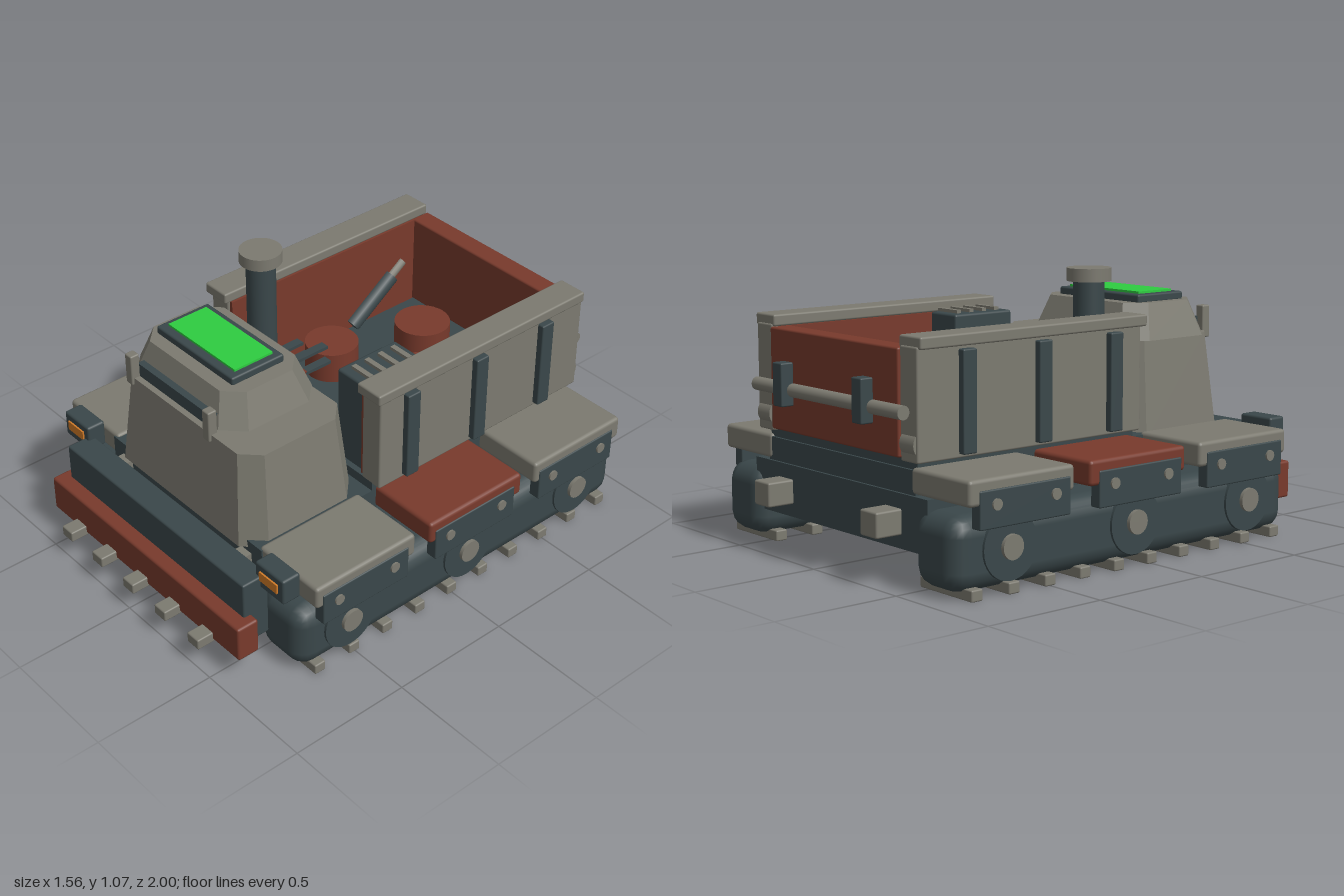
import * as THREE from 'three';
import { RoundedBoxGeometry } from 'three/addons/geometries/RoundedBoxGeometry.js';

const material = (name, color) => {
  const m = new THREE.MeshStandardMaterial({ color });
  m.name = name;
  return m;
};

export function createModel() {
  const grey = material('weathered grey', 0x7c7a70);
  const dark = material('dark slate', 0x3a474a);
  const red = material('rust red', 0x783a2c);
  const green = material('screen green', 0x2ecc40);
  const orange = material('lamp orange', 0xd07a28);

  const model = new THREE.Group();
  model.name = 'trackedHauler';

  const add = (name, geometry, mat, x = 0, y = 0, z = 0) => {
    const mesh = new THREE.Mesh(geometry, mat);
    mesh.name = name;
    mesh.position.set(x, y, z);
    model.add(mesh);
    return mesh;
  };
  // Box given by its limits on each axis; r rounds the edges
  const box = (name, mat, [x0, x1], [y0, y1], [z0, z1], r = 0) => {
    const w = x1 - x0, h = y1 - y0, d = z1 - z0;
    const g = r ? new RoundedBoxGeometry(w, h, d, 2, r) : new THREE.BoxGeometry(w, h, d);
    return add(name, g, mat, (x0 + x1) / 2, (y0 + y1) / 2, (z0 + z1) / 2);
  };
  // Box on the side s = 1 or -1, given by its distance from the middle
  const sideBox = (s, name, mat, [a, b], y, z, r) =>
    box(name, mat, s > 0 ? [a, b] : [-b, -a], y, z, r);
  const cylX = (name, mat, r, length, x, y, z, sides = 24) =>
    add(name, new THREE.CylinderGeometry(r, r, length, sides).rotateZ(Math.PI / 2), mat, x, y, z);
  const cylY = (name, mat, r, y0, y1, x, z) =>
    add(name, new THREE.CylinderGeometry(r, r, y1 - y0, 32), mat, x, (y0 + y1) / 2, z);

  // Tapered block with cut corners, between two rectangles [x0, x1, z0, z1, cut]
  const taperedBlock = (name, mat, y0, bottom, y1, top) => {
    const ring = ([x0, x1, z0, z1, c], y) => [
      [x0 + c, z1], [x1 - c, z1], [x1, z1 - c], [x1, z0 + c],
      [x1 - c, z0], [x0 + c, z0], [x0, z0 + c], [x0, z1 - c],
    ].map(([x, z]) => [x, y, z]);
    const a = ring(bottom, y0), b = ring(top, y1), p = [];
    for (let i = 0; i < 8; i++) {
      const j = (i + 1) % 8;
      p.push(...a[i], ...a[j], ...b[j], ...a[i], ...b[j], ...b[i]);
      if (i > 0 && i < 7) p.push(...b[0], ...b[i], ...b[j], ...a[0], ...a[j], ...a[i]);
    }
    const g = new THREE.BufferGeometry();
    g.setAttribute('position', new THREE.Float32BufferAttribute(p, 3));
    g.computeVertexNormals();
    return add(name, g, mat);
  };

  // Hull and deck
  box('hull', dark, [-0.54, 0.54], [0.13, 0.33], [-0.89, 0.72]);
  box('deck', dark, [-0.46, 0.46], [0.32, 0.42], [-0.88, 0.71]);
  box('bedFloor', dark, [-0.46, 0.46], [0.41, 0.46], [-0.87, 0.17]);

  // Front bumper, plow and teeth
  box('bumper', dark, [-0.55, 0.55], [0.12, 0.4], [0.755, 0.87], 0.008);
  box('plow', red, [-0.59, 0.59], [0.1, 0.25], [0.835, 0.93], 0.01);
  for (let i = -2; i <= 2; i++)
    box('plowTooth', grey, [i * 0.202 - 0.033, i * 0.202 + 0.033], [0.09, 0.135], [0.88, 1], 0.006);

  for (const s of [1, -1]) {
    sideBox(s, 'bumperStrut', grey, [0.34, 0.4], [0.3, 0.37], [0.68, 0.77]);

    // Track with pads and wheels
    sideBox(s, 'track', dark, [0.475, 0.73], [0.02, 0.295], [-0.92, 0.755], 0.075);
    for (let i = 0; i < 10; i++) {
      const z = 0.672 - i * 0.1675;
      sideBox(s, 'trackPad', grey, [0.455, 0.745], [0, 0.043], [z - 0.025, z + 0.025], 0.006);
    }
    for (const z of [0.52, -0.08, -0.68]) {
      cylX('wheel', dark, 0.122, 0.04, s * 0.72, 0.17, z, 32);
      cylX('wheelHub', grey, 0.046, 0.05, s * 0.73, 0.17, z);
    }

    // Fenders, skirts and bolts
    [[0.465, grey], [-0.09, red], [-0.645, grey]].forEach(([z, mat], i) => {
      const zs = z + (i === 0 ? 0.005 : i === 1 ? 0.008 : 0.01);
      sideBox(s, 'fender', mat, [0.44, 0.765], [0.335, 0.43], [z - 0.24, z + 0.24], 0.015);
      sideBox(s, 'skirt', dark, [0.72, 0.77], [0.252, 0.39], [zs - 0.207, zs + 0.207], 0.006);
      for (const d of [-0.135, 0.135])
        cylX('skirtBolt', grey, 0.021, 0.02, s * 0.768, 0.337, zs + d, 16);
    });

    // Headlamp
    sideBox(s, 'lampHousing', dark, [0.52, 0.68], [0.35, 0.46], [0.71, 0.79], 0.01);
    sideBox(s, 'lampLens', orange, [0.55, 0.65], [0.39, 0.43], [0.785, 0.797]);

    // Bed wall with ribs, cap rail and inner lining
    sideBox(s, 'bedWall', grey, [0.4, 0.5], [0.45, 0.86], [-0.9, 0.17], 0.008);
    sideBox(s, 'wallLining', red, [0.385, 0.402], [0.45, 0.85], [-0.86, 0.16]);
    sideBox(s, 'wallRail', grey, [0.39, 0.515], [0.85, 0.895], [-0.895, 0.19], 0.008);
    for (const z of [0.023, -0.33, -0.685])
      sideBox(s, 'wallRib', dark, [0.49, 0.528], [0.465, 0.84], [z - 0.031, z + 0.031], 0.006);

    // Lift piston inside the bed
    const piston = new THREE.Group();
    piston.name = 'liftPiston';
    const barrel = new THREE.Mesh(new THREE.CylinderGeometry(0.036, 0.036, 0.27, 16), dark);
    const rod = new THREE.Mesh(new THREE.CylinderGeometry(0.02, 0.02, 0.09, 12), grey);
    barrel.name = 'pistonBarrel';
    rod.name = 'pistonRod';
    rod.position.y = 0.17;
    piston.add(barrel, rod);
    piston.position.set(s * 0.385, 0.55, -0.58);
    piston.rotation.x = -0.95;
    model.add(piston);

    // Tailgate fittings
    cylX('tailgateHinge', grey, 0.05, 0.08, s * 0.45, 0.515, -0.862);
    sideBox(s, 'tailgateLatch', dark, [0.22, 0.28], [0.57, 0.735], [-0.98, -0.925], 0.006);
    sideBox(s, 'towBlock', grey, [0.29, 0.39], [0.18, 0.275], [-1, -0.87], 0.008);
  }

  // Tailgate and its bar
  box('tailgate', red, [-0.4, 0.4], [0.46, 0.85], [-0.908, -0.82], 0.008);
  cylX('tailgateBar', grey, 0.026, 0.92, 0, 0.63, -0.93);

  // Cab
  taperedBlock('cabBody', grey, 0.39, [-0.435, 0.435, 0.19, 0.735, 0.08],
    0.78, [-0.39, 0.39, 0.225, 0.7, 0.07]);
  taperedBlock('cabTop', grey, 0.775, [-0.42, 0.245, 0.215, 0.665, 0.08],
    0.915, [-0.37, 0.195, 0.265, 0.62, 0.07]);
  box('visionSlit', dark, [-0.31, 0.14], [0.78, 0.835], [0.6, 0.675]);
  for (const x of [-0.32, 0.152])
    box('visorPost', grey, [x - 0.02, x + 0.02], [0.75, 0.88], [0.672, 0.712], 0.006);
  box('hatchFrame', dark, [-0.33, 0.13], [0.91, 0.945], [0.32, 0.565], 0.008);
  box('hatchScreen', green, [-0.3, 0.1], [0.945, 0.954], [0.35, 0.53]);

  // Control levers behind the cab
  box('leverPanel', red, [-0.105, 0.1], [0.77, 0.79], [0.185, 0.23]);
  [[-0.082, 0.065], [0, 0.01], [0.082, 0.065]].forEach(([x, z]) =>
    box('lever', dark, [x - 0.018, x + 0.018], [0.772, 0.785], [z, 0.19]));

  // Exhaust stack
  cylY('exhaustPipe', dark, 0.06, 0.42, 1.03, -0.343, 0.045);
  cylY('exhaustCap', grey, 0.086, 1.02, 1.07, -0.343, 0.045);

  // Engine box with vent slats
  box('engineBox', dark, [0.23, 0.39], [0.44, 0.853], [-0.145, 0.145], 0.01);
  for (let i = 0; i < 4; i++) {
    const z = -0.1 + i * 0.065;
    box('ventSlat', grey, [0.265, 0.386], [0.85, 0.866], [z - 0.011, z + 0.011]);
  }

  // Drums in the bed
  cylY('drum', red, 0.115, 0.45, 0.6, -0.075, -0.585);
  cylY('drum', red, 0.141, 0.45, 0.55, 0.135, -0.37);
  cylY('drum', red, 0.11, 0.45, 0.59, -0.218, -0.215);

  return model;
}
